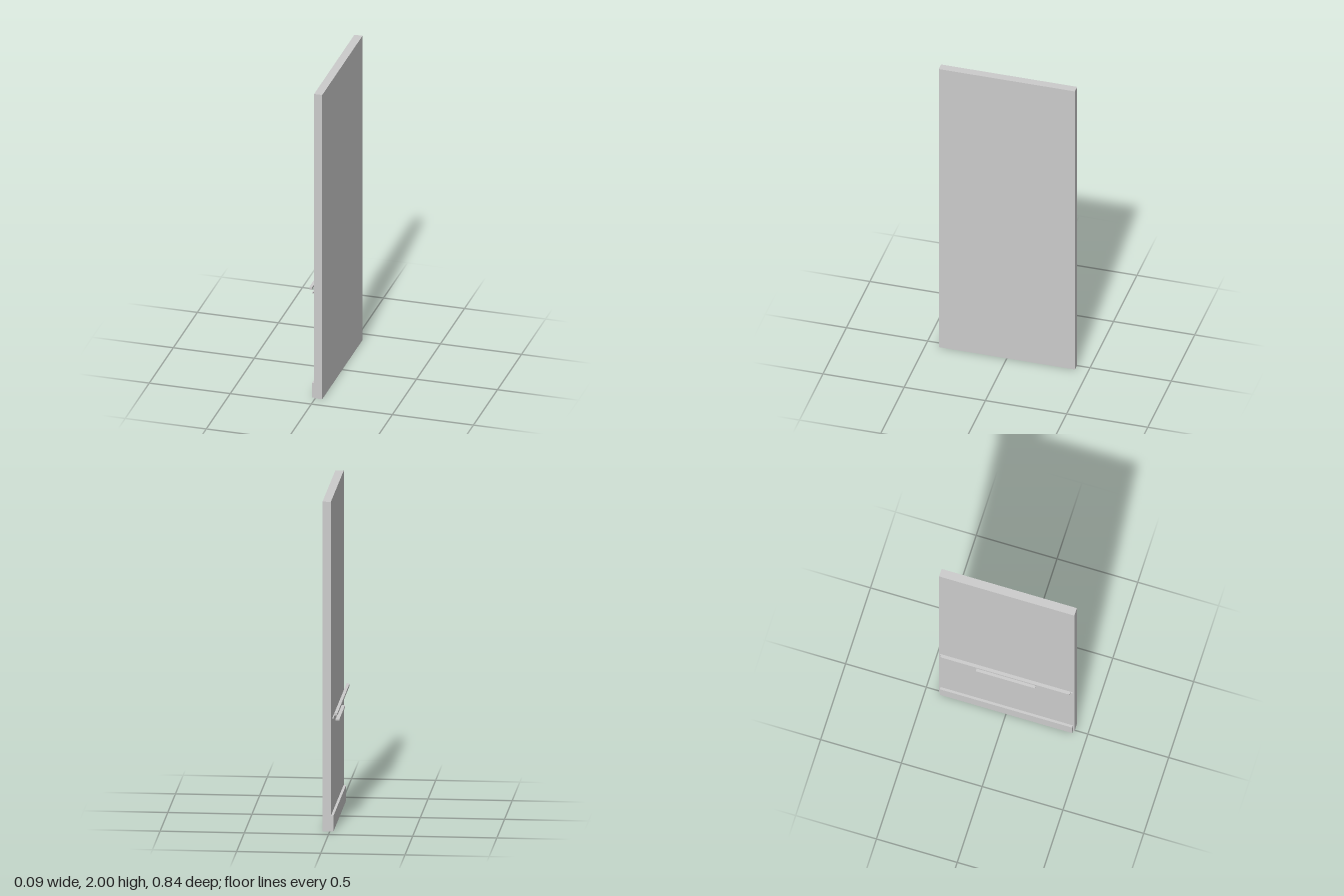
import * as THREE from 'three';

const material = new THREE.MeshStandardMaterial({ color: 0xcccccc, flatShading: true });

// Box given by its x, y limits and its half length along z
function slab(name, x0, x1, y0, y1, halfZ) {
  const mesh = new THREE.Mesh(new THREE.BoxGeometry(x1 - x0, y1 - y0, halfZ * 2), material);
  mesh.position.set((x0 + x1) / 2, (y0 + y1) / 2, 0);
  mesh.name = name;
  return mesh;
}

// Bar whose outer (-x) end corners are cut back, extruded upwards from its plan
function chamferedBar(name, x0, x1, y0, y1, halfZ, cutX, cutZ) {
  const plan = new THREE.Shape([
    [x1, -halfZ], [x1, halfZ], [x0 + cutX, halfZ],
    [x0, halfZ - cutZ], [x0, cutZ - halfZ], [x0 + cutX, -halfZ],
  ].map(([x, z]) => new THREE.Vector2(x, z)));
  const geometry = new THREE.ExtrudeGeometry(plan, { depth: y1 - y0, bevelEnabled: false });
  geometry.rotateX(-Math.PI / 2);
  const mesh = new THREE.Mesh(geometry, material);
  mesh.position.y = y0;
  mesh.name = name;
  return mesh;
}

export function createModel() {
  const group = new THREE.Group();
  group.name = 'doorPanel';
  group.add(
    slab('doorLeaf', -0.007, 0.043, 0, 2, 0.419),
    // Plate along the foot of the door
    slab('kickPlate', -0.022, -0.007, 0, 0.095, 0.41),
    // Long rail with the thin strip below it
    chamferedBar('longRail', -0.044, -0.026, 0.701, 0.715, 0.4, 0.003, 0.01),
    slab('thinStrip', -0.022, -0.015, 0.682, 0.688, 0.41),
    // Short pull handle
    slab('pullHandle', -0.037, -0.014, 0.62, 0.631, 0.183),
  );
  return group;
}
